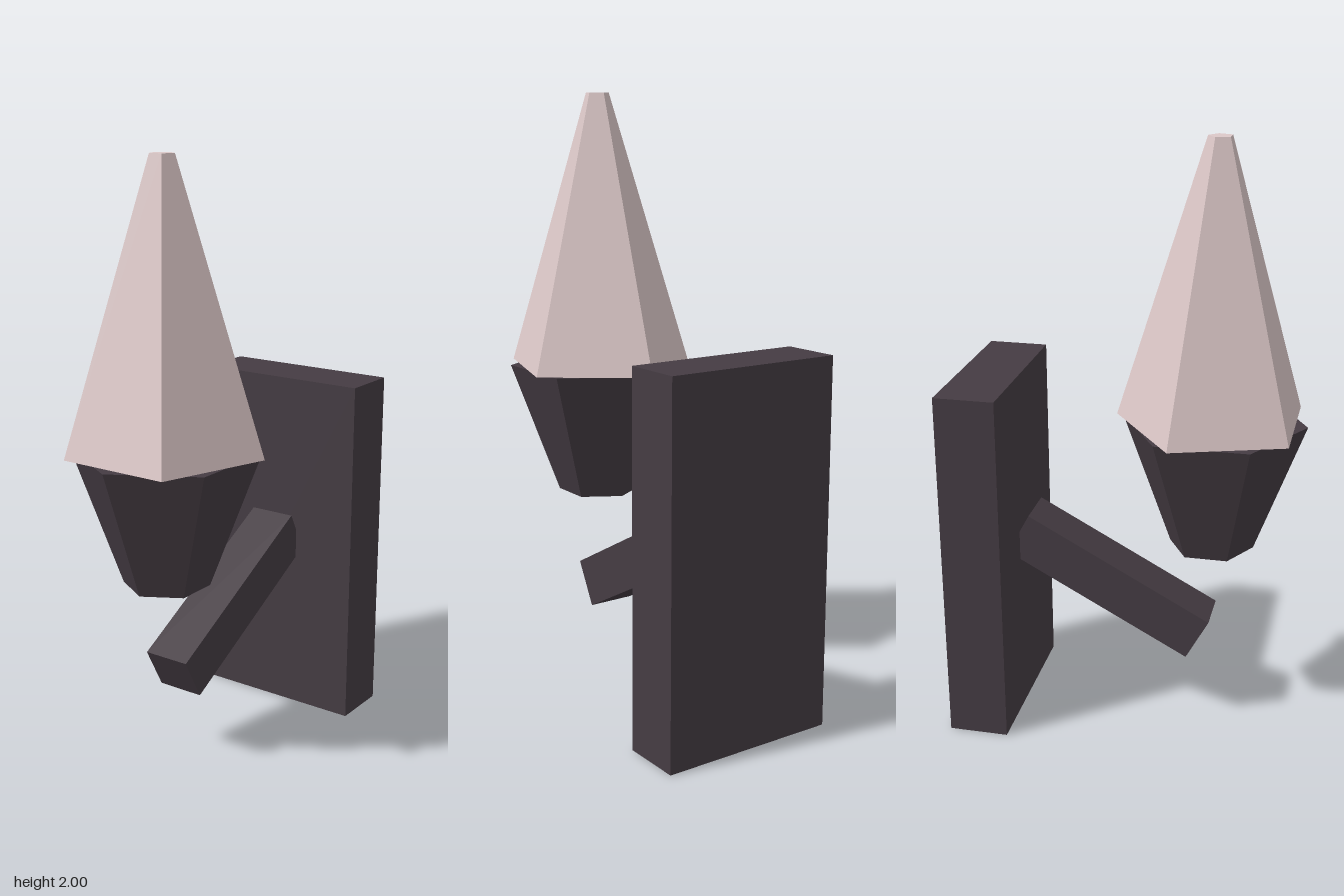
import * as THREE from 'three';

export function createModel() {
  const model = new THREE.Group();
  model.name = 'wallTorch';

  const iron = new THREE.MeshStandardMaterial({ color: 0x453c43, flatShading: true });
  iron.name = 'dark iron';
  const glow = new THREE.MeshStandardMaterial({ color: 0xdcc8c8, flatShading: true });
  glow.name = 'pale flame';

  const add = (name, geometry, material, x, y, z) => {
    const mesh = new THREE.Mesh(geometry, material);
    mesh.name = name;
    mesh.position.set(x, y, z);
    model.add(mesh);
    return mesh;
  };

  // Wall plate at the back
  add('wallPlate', new THREE.BoxGeometry(0.605, 1.21, 0.2), iron, 0, 0.605, -0.475);

  // Slanted arm, its upper end sunk into the plate
  const arm = add('arm', new THREE.BoxGeometry(0.16, 0.16, 0.705), iron, 0, 0.488, -0.07);
  arm.rotation.x = 0.495;

  // Six-sided cup, corners to front and back
  add('cup', new THREE.CylinderGeometry(0.302, 0.14, 0.44, 6), iron, 0, 0.87, 0.27);

  // Five-sided flame, one corner to the back
  add('flame', new THREE.CylinderGeometry(0.04, 0.322, 0.91, 5, 1, false, Math.PI), glow, 0, 1.545, 0.27);

  return model;
}
